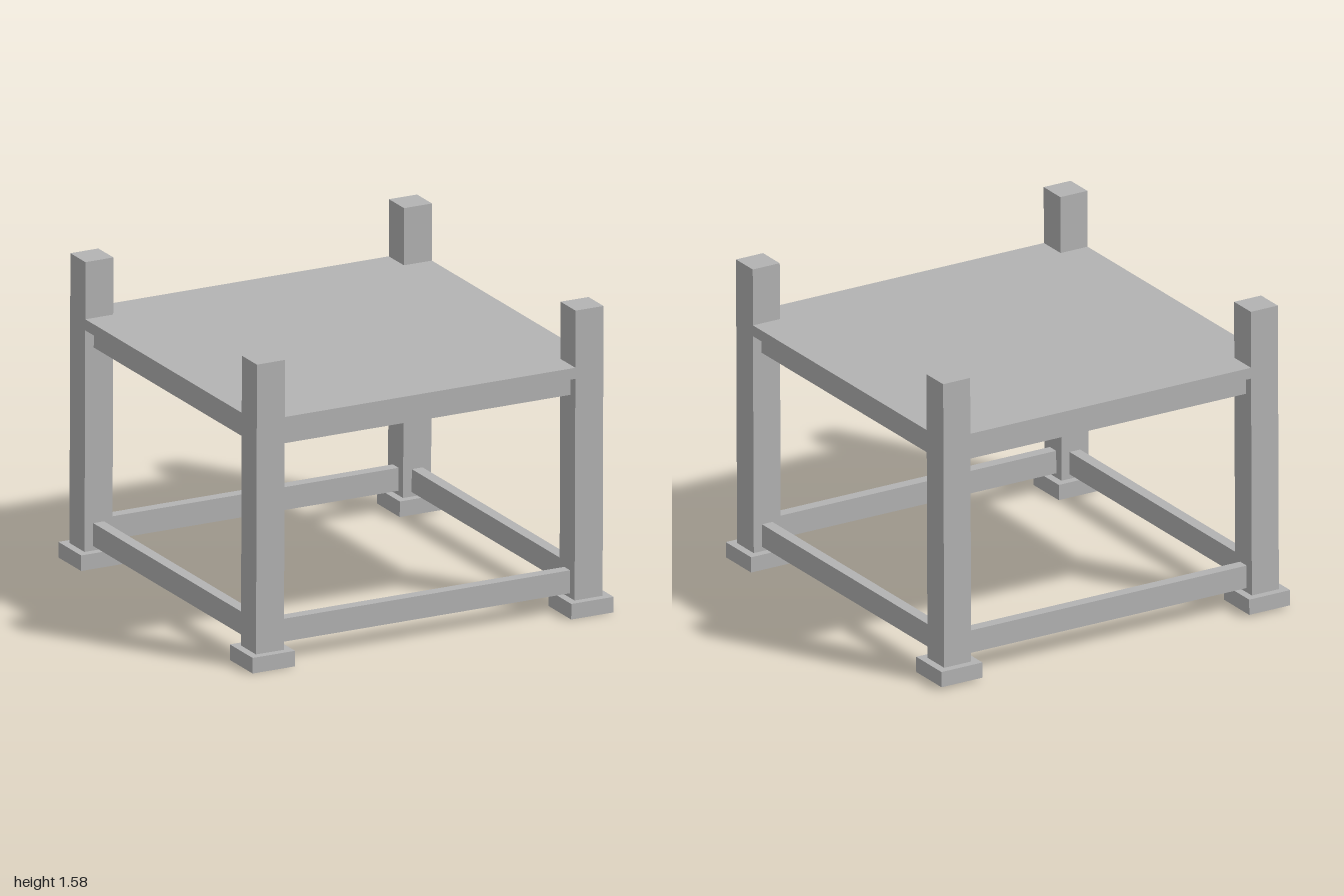
import * as THREE from 'three';

const grey = new THREE.MeshStandardMaterial({ color: 0xb3b3b3 });
grey.name = 'plain grey';

// Box given by its centre in x and z and its bottom and top heights
function addBox(parent, name, width, depth, bottom, top, x, z) {
  const mesh = new THREE.Mesh(new THREE.BoxGeometry(width, top - bottom, depth), grey);
  mesh.name = name;
  mesh.position.set(x, (bottom + top) / 2, z);
  parent.add(mesh);
}

export function createModel() {
  const model = new THREE.Group();
  model.name = 'table';
  // The whole frame leans very slightly towards the front
  const frame = new THREE.Group();
  frame.name = 'frame';
  frame.rotation.x = 0.0065;
  frame.position.set(0, 0.0065, -0.004);
  model.add(frame);

  const centre = 0.8825; // post and rail centre line
  const post = 0.155;
  const board = 0.06;
  const railLength = 2 * centre - post;

  // Corner posts on square feet
  for (const sx of [-1, 1]) {
    for (const sz of [-1, 1]) {
      addBox(frame, 'foot', 0.235, 0.235, 0, 0.08, sx * centre, sz * centre);
      addBox(frame, 'post', post, post, 0.08, 1.572, sx * centre, sz * centre);
    }
  }

  // Lower and upper rails between the posts
  for (const [name, bottom, top] of [['lowerRail', 0.103, 0.221], ['upperRail', 1.125, 1.221]]) {
    for (const s of [-1, 1]) {
      addBox(frame, name, railLength, board, bottom, top, 0, s * centre);
      addBox(frame, name, board, railLength, bottom, top, s * centre, 0);
    }
  }

  // Flat cross beam under the deck
  addBox(frame, 'crossBeam', 0.117, 2 * centre - board, 1.161, 1.221, 0, 0);

  // Deck notched around the posts
  const a = centre + post / 2;
  const b = centre - post / 2;
  const outline = [
    [-b, -a], [b, -a], [b, -b], [a, -b], [a, b], [b, b],
    [b, a], [-b, a], [-b, b], [-a, b], [-a, -b], [-b, -b],
  ].map(([x, y]) => new THREE.Vector2(x, y));
  const deck = new THREE.Mesh(
    new THREE.ExtrudeGeometry(new THREE.Shape(outline), { depth: 0.057, bevelEnabled: false }),
    grey
  );
  deck.name = 'deck';
  deck.rotation.x = -Math.PI / 2;
  deck.position.y = 1.221;
  frame.add(deck);

  return model;
}
